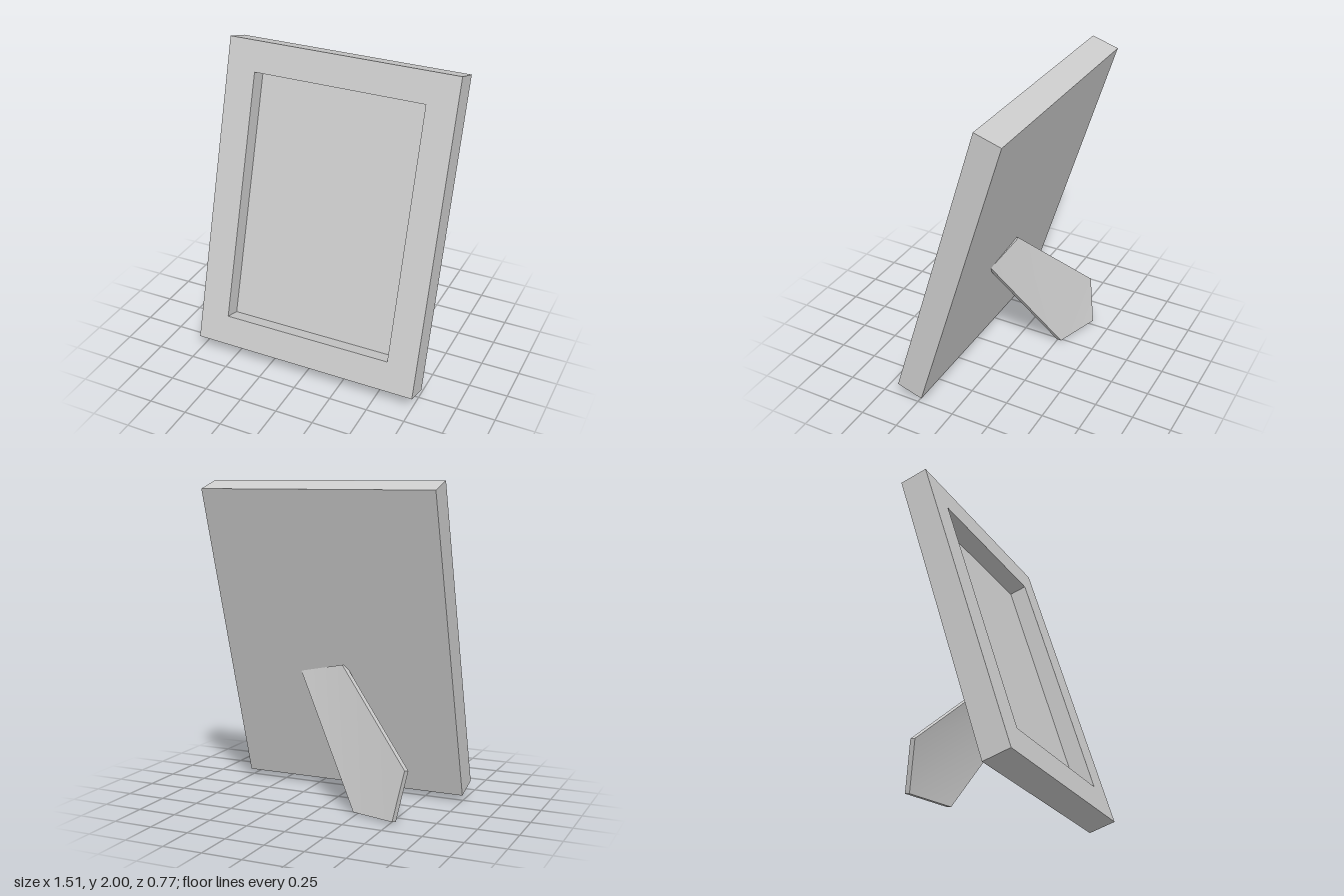
import * as THREE from 'three';

const material = new THREE.MeshStandardMaterial({ color: 0xcccccc, side: THREE.DoubleSide });

const WIDTH = 1.51, HEIGHT = 1.995, DEPTH = 0.177; // whole frame
const BACK = 0.062; // thickness of the backing panel
const TILT = 0.295; // backward lean in radians

function addMesh(parent, name, geometry) {
  const mesh = new THREE.Mesh(geometry, material);
  mesh.name = name;
  parent.add(mesh);
  return mesh;
}

function rectangle(PathType, x, y0, y1) {
  return new PathType([[-x, y0], [x, y0], [x, y1], [-x, y1]].map(p => new THREE.Vector2(...p)));
}

// Thin plate: a back outline swept along an offset; every face has its own
// vertices, so edges stay sharp while the twisted broad faces shade softly.
function plate(outline, offset) {
  const back = outline.map(p => new THREE.Vector3(...p));
  const front = back.map(p => p.clone().add(offset));
  const positions = [], indices = [];
  const addFace = (corners) => {
    const base = positions.length / 3;
    corners.forEach(c => positions.push(c.x, c.y, c.z));
    for (let i = 1; i < corners.length - 1; i++) indices.push(base, base + i, base + i + 1);
  };
  addFace(back);
  addFace([...front].reverse());
  back.forEach((p, i) => {
    const j = (i + 1) % back.length;
    addFace([back[j], p, front[i], front[j]]);
  });
  const geometry = new THREE.BufferGeometry();
  geometry.setAttribute('position', new THREE.Float32BufferAttribute(positions, 3));
  geometry.setIndex(indices);
  geometry.computeVertexNormals();
  return geometry;
}

export function createModel() {
  const model = new THREE.Group();
  model.name = 'pictureFrame';

  // Leaning frame, with its origin at the lower back edge
  const frame = new THREE.Group();
  frame.name = 'frame';
  frame.position.set(0, 0.04, 0.22);
  frame.rotation.x = -TILT;
  model.add(frame);

  // Border with the picture opening
  const shape = rectangle(THREE.Shape, WIDTH / 2, 0, HEIGHT);
  shape.holes.push(rectangle(THREE.Path, 0.563, 0.192, 1.8));
  const border = addMesh(frame, 'border',
    new THREE.ExtrudeGeometry(shape, { depth: DEPTH - BACK, bevelEnabled: false }));
  border.position.z = BACK;

  // Backing panel, also the floor of the recess
  const panel = addMesh(frame, 'backingPanel', new THREE.BoxGeometry(WIDTH, HEIGHT, BACK));
  panel.position.set(0, HEIGHT / 2, BACK / 2);

  // Splayed, slightly twisted support leg, its top sunk into the panel
  addMesh(model, 'supportLeg', plate([
    [-0.226, 0.008, -0.28], // inner foot
    [-0.52, 0.018, -0.385], // outer foot
    [-0.575, 0.32, -0.33], // outer knee
    [-0.046, 0.865, -0.045], // outer top
    [0.255, 0.8, -0.01], // inner top
  ], new THREE.Vector3(-0.01, -0.008, 0.036)));

  return model;
}
